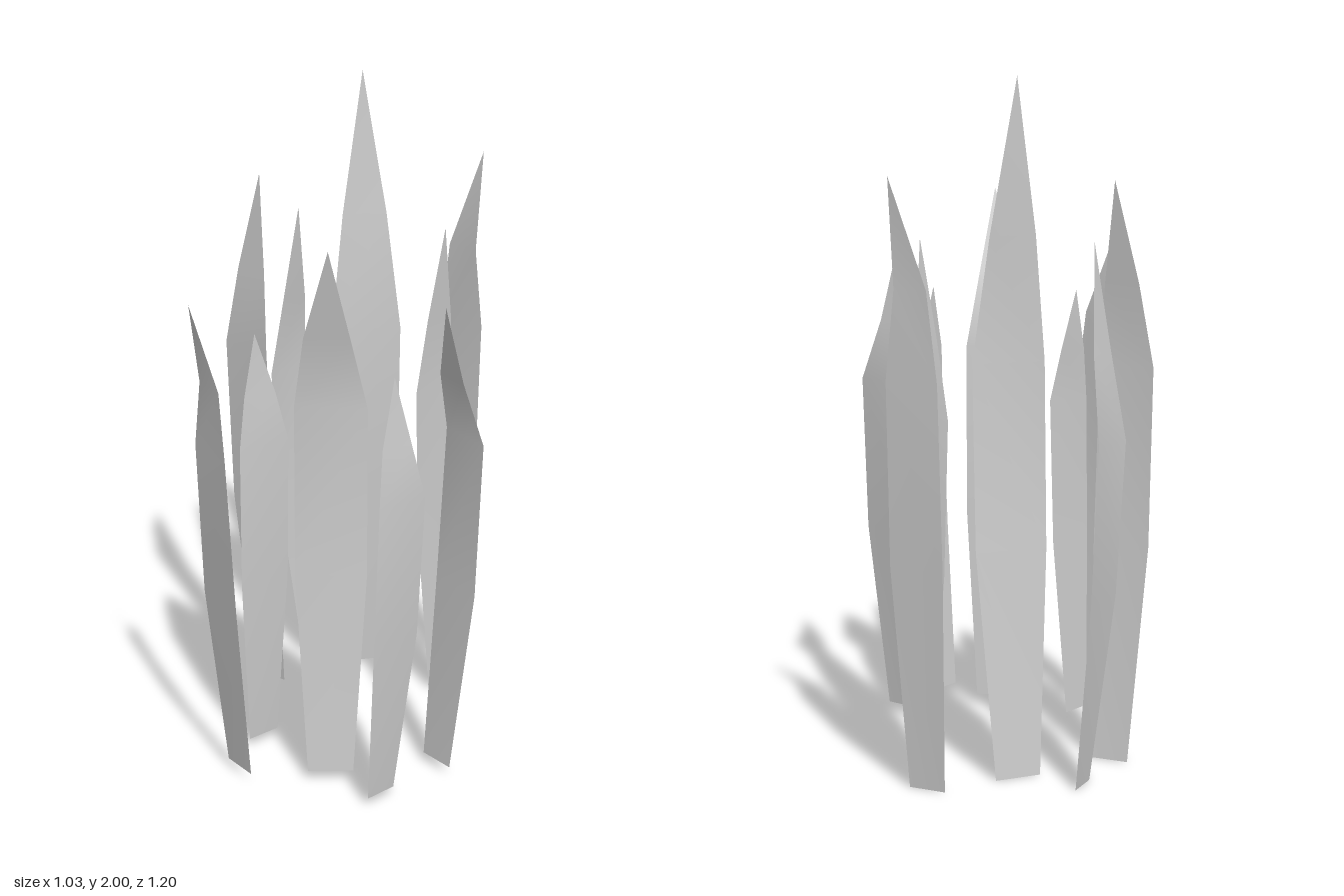
import * as THREE from 'three';

const TWIST = THREE.MathUtils.degToRad(7);

// A thin pointed leaf: narrow foot, wide belly, tapering shoulder, single tip.
// foot, belly, shoulder are [x, z] centres; tip is [x, y, z].
function makeBlade({ y0, bellyY, foot, belly, shoulder, tip, angle, width }, material) {
  const mix = (a, b, t) => a + (b - a) * t;
  const turn = THREE.MathUtils.degToRad(angle);
  const low = [mix(foot[0], belly[0], 0.72), mix(foot[1], belly[1], 0.72)];
  // centre, height, width factor, twist
  const rows = [
    [foot, y0, 0.65, TWIST],
    [low, mix(y0, bellyY, 0.55), 1, TWIST * 0.4],
    [belly, bellyY, 1, 0],
    [shoulder, mix(bellyY, tip[1], 0.45), 0.63, 0],
  ];
  const positions = [];
  for (const [[x, z], y, scale, twist] of rows) {
    const dx = Math.cos(turn - twist) * width * scale / 2;
    const dz = Math.sin(turn - twist) * width * scale / 2;
    positions.push(x - dx, y, z - dz, x + dx, y, z + dz);
  }
  positions.push(...tip);

  const index = [];
  for (let r = 0; r < rows.length - 1; r++) {
    const i = r * 2;
    index.push(i, i + 1, i + 3, i, i + 3, i + 2);
  }
  index.push(6, 7, 8);

  const geometry = new THREE.BufferGeometry();
  geometry.setAttribute('position', new THREE.Float32BufferAttribute(positions, 3));
  geometry.setIndex(index);
  geometry.computeVertexNormals();
  return new THREE.Mesh(geometry, material);
}

const backBlades = [
  { name: 'tallBlade', foot: [0.13, -0.365], belly: [0.13, -0.3], shoulder: [0.132, -0.332], tip: [0.13, 2, -0.355], bellyY: 1.2, angle: 8, width: 0.215 },
  { name: 'leftBlade', foot: [0.408, -0.35], belly: [0.465, -0.388], shoulder: [0.458, -0.365], tip: [0.513, 1.73, -0.345], bellyY: 1.17, angle: 58, width: 0.172 },
  { name: 'rightBlade', foot: [-0.185, -0.33], belly: [-0.252, -0.295], shoulder: [-0.23, -0.305], tip: [-0.198, 1.71, -0.317], bellyY: 1.17, angle: 57, width: 0.178 },
  { name: 'outerBlade', foot: [-0.008, -0.502], belly: [-0.065, -0.562], shoulder: [-0.052, -0.523], tip: [-0.042, 1.55, -0.49], bellyY: 0.99, angle: -33, width: 0.155 },
  { name: 'innerBlade', foot: [0.342, -0.152], belly: [0.325, -0.197], shoulder: [0.332, -0.18], tip: [0.34, 1.55, -0.157], bellyY: 1.02, angle: -31, width: 0.164 },
];

const frontBlades = [
  { name: 'tallBlade', foot: [-0.137, 0.35], belly: [-0.12, 0.295], shoulder: [-0.14, 0.335], tip: [-0.15, 1.67, 0.395], bellyY: 1.18, angle: 19, width: 0.21 },
  { name: 'rightBlade', foot: [-0.398, 0.26], belly: [-0.468, 0.29], shoulder: [-0.465, 0.285], tip: [-0.515, 1.51, 0.28], bellyY: 1.07, angle: 72, width: 0.178 },
  { name: 'leftBlade', foot: [0.19, 0.363], belly: [0.26, 0.353], shoulder: [0.214, 0.365], tip: [0.18, 1.49, 0.41], bellyY: 1.08, angle: 70, width: 0.176 },
  { name: 'outerBlade', foot: [-0.02, 0.502], belly: [0.018, 0.573], shoulder: [0.005, 0.558], tip: [0, 1.35, 0.545], bellyY: 0.99, angle: -21, width: 0.155 },
  { name: 'innerBlade', foot: [-0.29, 0.087], belly: [-0.283, 0.138], shoulder: [-0.292, 0.128], tip: [-0.305, 1.36, 0.13], bellyY: 1.02, angle: -19.5, width: 0.164 },
];

export function createModel() {
  const model = new THREE.Group();
  model.name = 'grassPatch';
  const material = new THREE.MeshStandardMaterial({ color: 0xcccccc, side: THREE.DoubleSide });

  // Two tufts of five blades; the front one stands slightly higher
  for (const [name, blades, y0] of [['backTuft', backBlades, 0], ['frontTuft', frontBlades, 0.03]]) {
    const tuft = new THREE.Group();
    tuft.name = name;
    for (const blade of blades) {
      const mesh = makeBlade({ y0, ...blade }, material);
      mesh.name = blade.name;
      tuft.add(mesh);
    }
    model.add(tuft);
  }
  return model;
}
